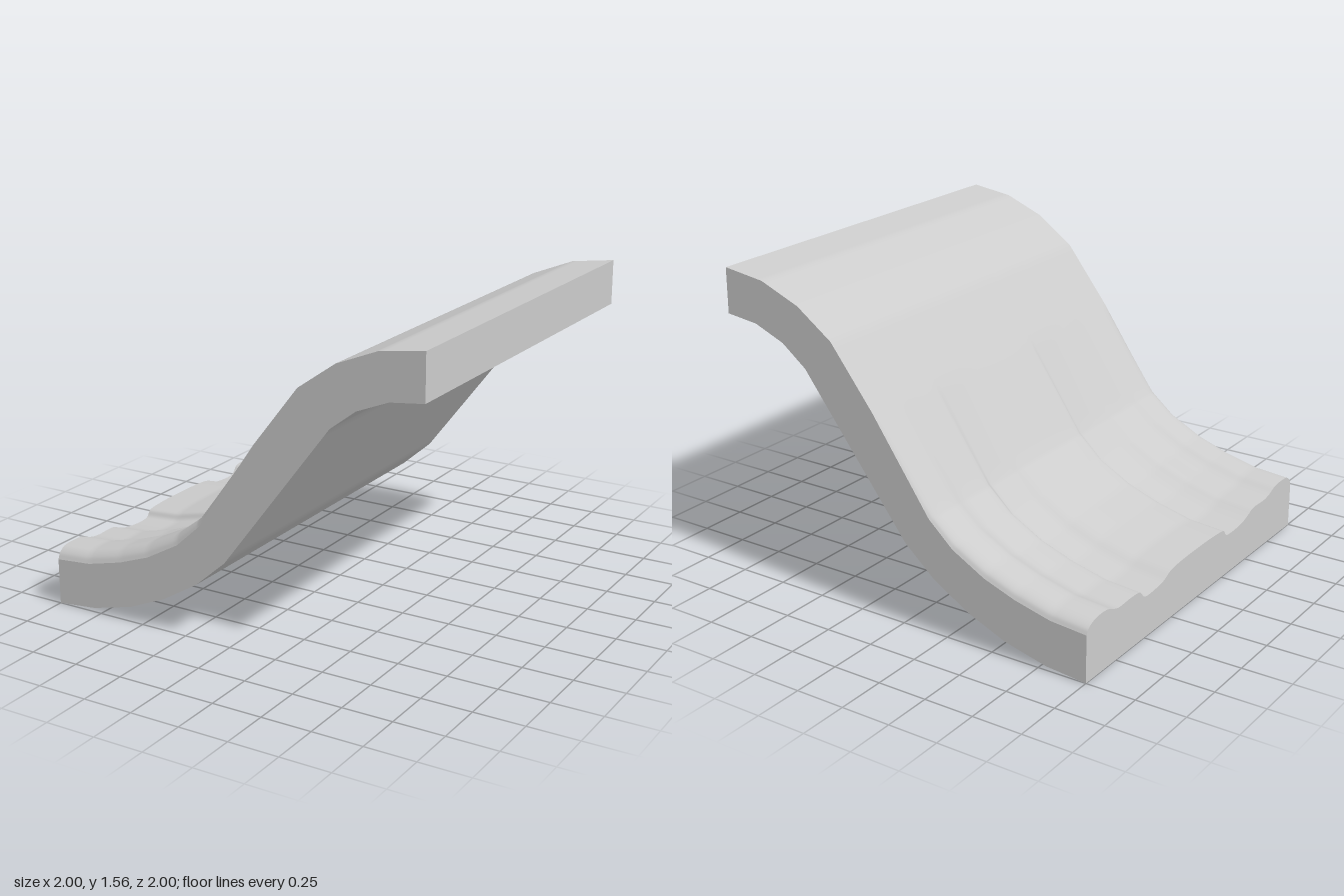
import * as THREE from 'three';

// Side profile stations: upper line, lower line, strength of the carved relief
const TOP = [[-1, 0.29], [-0.82, 0.305], [-0.64, 0.35], [-0.48, 0.405], [-0.31, 0.49], [-0.18, 0.59],
  [0.15, 1.014], [0.38, 1.31], [0.57, 1.445], [0.78, 1.53], [1, 1.56]];
const BOTTOM = [[-1, 0], [-0.79, 0.02], [-0.57, 0.075], [-0.37, 0.16], [-0.18, 0.275], [-0.02, 0.415],
  [0.26, 0.7825], [0.54, 1.15], [0.67, 1.25], [0.83, 1.315], [1, 1.335]];
const RELIEF = [1, 1, 1, 0.95, 0.8, 0.55, 0, 0, 0, 0, 0];

// Moulding cross-section: z and depth below the highest ridge
const MOULDING = [[-1, 0.055], [-0.985, 0.03], [-0.95, 0.01], [-0.89, 0], [-0.82, 0.005], [-0.77, 0.025],
  [-0.73, 0.035], [-0.62, 0.032], [-0.545, 0.04], [-0.52, 0.065], [-0.5, 0.08], [-0.4, 0.08],
  [-0.33, 0.07], [-0.27, 0.045], [-0.2, 0.035], [0, 0.03], [0.2, 0.035], [0.26, 0.045], [0.28, 0.07],
  [0.3, 0.08], [0.45, 0.075], [0.52, 0.055], [0.57, 0.037], [0.7, 0.037], [0.76, 0.025], [0.81, 0.005],
  [0.88, 0], [0.95, 0.005], [0.985, 0.03], [1, 0.06]];

const section = new THREE.CatmullRomCurve3(MOULDING.map(([z, d]) => new THREE.Vector3(z, d, 0)))
  .getPoints((MOULDING.length - 1) * 4);

// Rows along the run; extra rows beside each bend keep its shading tight
const rows = [];
for (let i = 0; i < TOP.length - 1; i++) rows.push(i, i + 0.12, i + 0.88);
rows.push(TOP.length - 1);

function along(list, t) {
  const i = Math.min(Math.floor(t), list.length - 2), f = t - i;
  return list[i].map((a, k) => a + (list[i + 1][k] - a) * f);
}

// Downward normal of the upper line, averaged at the bends
const normals = TOP.map((p, i) => {
  if (i === 0 || i === TOP.length - 1) return [0, -1];
  const dx = TOP[i + 1][0] - TOP[i - 1][0], dy = TOP[i + 1][1] - TOP[i - 1][1], l = Math.hypot(dx, dy);
  return [dy / l, -dx / l];
});
const strengths = RELIEF.map((r) => [r]);

function topPoint(t, s) {
  const [x, y] = along(TOP, t), [nx, ny] = along(normals, t), [r] = along(strengths, t);
  const d = s.y * r;
  return [x + nx * d, y + ny * d, s.x];
}

function bottomPoint(t, z) {
  const [x, y] = along(BOTTOM, t);
  return [x, y, z];
}

// Surface over a u by v grid, facing u cross v
function sheet(name, nu, nv, point, material) {
  const position = [], index = [];
  for (let u = 0; u < nu; u++) for (let v = 0; v < nv; v++) position.push(...point(u, v));
  for (let u = 0; u < nu - 1; u++) for (let v = 0; v < nv - 1; v++) {
    const a = u * nv + v, b = a + nv;
    index.push(a, b, b + 1, a, b + 1, a + 1);
  }
  const geometry = new THREE.BufferGeometry();
  geometry.setAttribute('position', new THREE.Float32BufferAttribute(position, 3));
  geometry.setIndex(index);
  geometry.computeVertexNormals();
  const mesh = new THREE.Mesh(geometry, material);
  mesh.name = name;
  return mesh;
}

export function createModel() {
  const group = new THREE.Group();
  group.name = 'curvedMoulding';
  const grey = new THREE.MeshStandardMaterial({ color: 0xcccccc });
  grey.name = 'plain grey';

  const n = section.length, m = rows.length, last = TOP.length - 1;
  const wall = (t, s, upper) => (upper ? topPoint(t, s) : bottomPoint(t, s.x));
  const back = section[0], front = section[n - 1];

  group.add(
    // Upper and lower faces
    sheet('carvedTop', n, m, (u, v) => topPoint(rows[v], section[u]), grey),
    sheet('underside', m, 2, (u, v) => bottomPoint(rows[u], v * 2 - 1), grey),
    // Flat sides
    sheet('frontSide', m, 2, (u, v) => wall(rows[u], front, v), grey),
    sheet('backSide', 2, m, (u, v) => wall(rows[v], back, u), grey),
    // Ends of the run
    sheet('lowEnd', n, 2, (u, v) => wall(0, section[u], v), grey),
    sheet('highEnd', 2, n, (u, v) => wall(last, section[v], u), grey),
  );
  return group;
}
